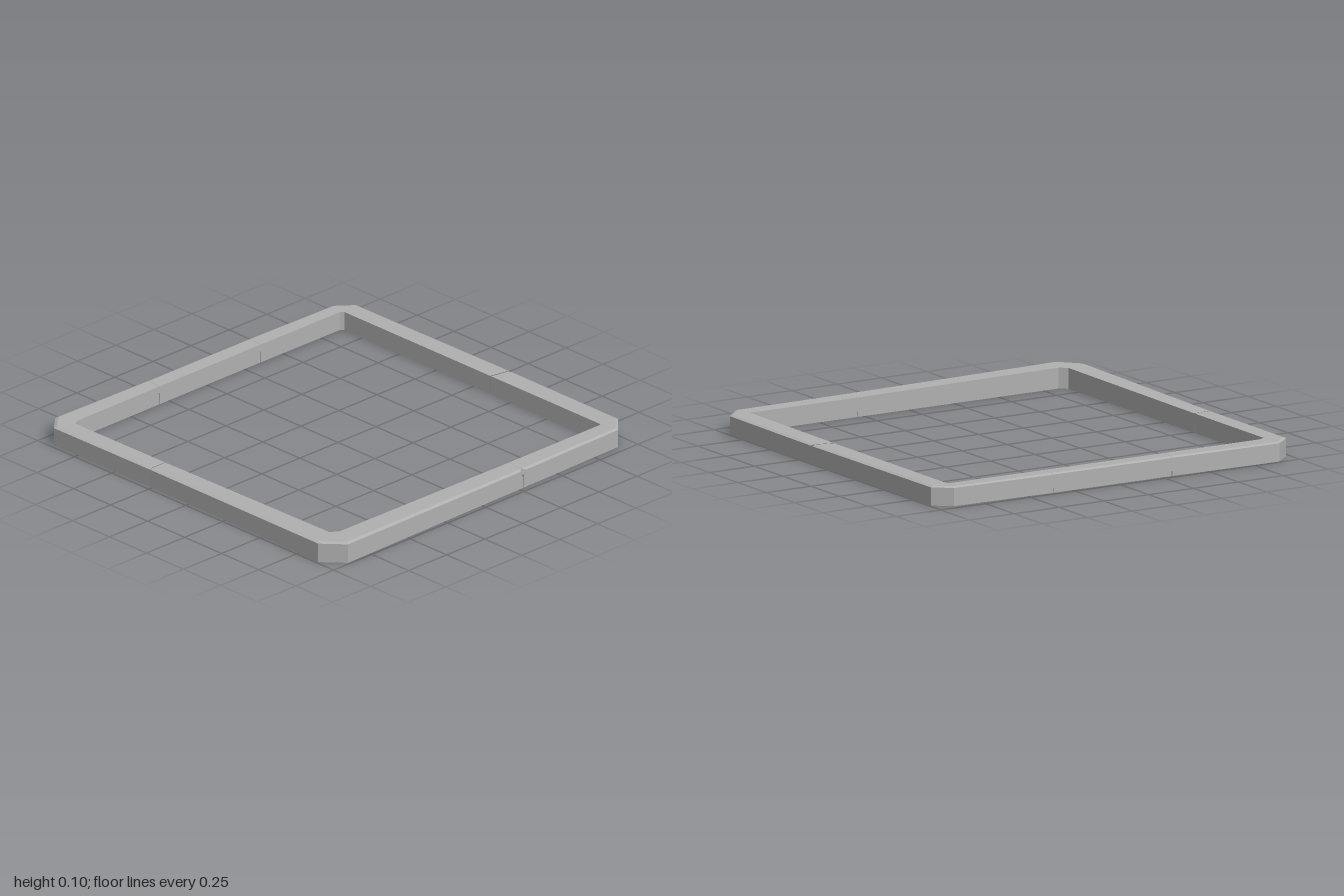
import * as THREE from 'three';

// Ring of cross-sections: outer x,z, inner x,z, top height, and crack / notch half-widths
const stations = [
  { name: 'backLeftCorner', o: [-0.965, -0.905], i: [-0.885, -0.875], h: 0.094 },
  { name: 'backBarLeft', o: [-0.895, -0.99], i: [-0.872, -0.89], h: 0.094 },
  { name: 'backBarRight', o: [0.14, -1.0], i: [0.118, -0.89], h: 0.094, crack: 0.003, notch: 0.008 },
  { name: 'backRightCorner', o: [0.87, -0.995], i: [0.862, -0.887], h: 0.096 },
  { name: 'rightBarBack', o: [0.957, -0.912], i: [0.865, -0.88], h: 0.095 },
  { name: 'rightBarFront', o: [0.97, -0.275], i: [0.865, -0.285], h: 0.095, crack: 0.001, notch: 0.02 },
  { name: 'frontRightCorner', o: [0.99, 0.895], i: [0.865, 0.835], h: 0.102 },
  { name: 'frontBarRight', o: [0.885, 0.99], i: [0.835, 0.87], h: 0.102 },
  { name: 'frontBarLeft', o: [-0.263, 0.977], i: [-0.265, 0.877], h: 0.095, crack: 0.002 },
  { name: 'frontLeftCorner', o: [-0.912, 0.98], i: [-0.87, 0.88], h: 0.094 },
  { name: 'leftBarFront', o: [-0.99, 0.893], i: [-0.886, 0.847], h: 0.094 },
  { name: 'leftBarMiddle', o: [-0.977, 0.302], i: [-0.888, 0.31], h: 0.094, crack: 0.002 },
  { name: 'leftBarBack', o: [-0.977, -0.36], i: [-0.888, -0.356], h: 0.094, crack: 0.002 },
];

// Open-bottomed section: outer wall, small bevel, top, inner wall.
// Ends at a crack are pulled back towards the segment, more so at a notch.
function section(s, toward) {
  const dir = new THREE.Vector2(toward.o[0] - s.o[0], toward.o[1] - s.o[1]).normalize();
  const crack = s.crack || 0;
  const notch = Math.max(s.notch || 0, crack);
  const at = (t, y, pull) => new THREE.Vector3(
    THREE.MathUtils.lerp(s.o[0], s.i[0], t) + dir.x * pull, y,
    THREE.MathUtils.lerp(s.o[1], s.i[1], t) + dir.y * pull);
  return [
    at(0, 0, crack), at(0, 0.058, crack), at(0, s.h - 0.006, notch),
    at(0.14, s.h, crack), at(1, s.h - 0.001, crack), at(1, 0, crack),
  ];
}

// Flat-shaded strip joining two sections
function segment(a, b, material) {
  const A = section(a, b), B = section(b, a), points = [];
  for (let j = 0; j < A.length - 1; j++) {
    points.push(A[j], A[j + 1], B[j + 1], A[j], B[j + 1], B[j]);
  }
  const geometry = new THREE.BufferGeometry().setFromPoints(points);
  geometry.computeVertexNormals();
  const mesh = new THREE.Mesh(geometry, material);
  mesh.name = a.name;
  return mesh;
}

export function createModel() {
  const group = new THREE.Group();
  group.name = 'stoneBorderFrame';
  const stone = new THREE.MeshStandardMaterial({ color: 0xb0b0b0, side: THREE.DoubleSide, flatShading: true });
  stone.name = 'stone grey';
  stations.forEach((s, k) => group.add(segment(s, stations[(k + 1) % stations.length], stone)));
  return group;
}
